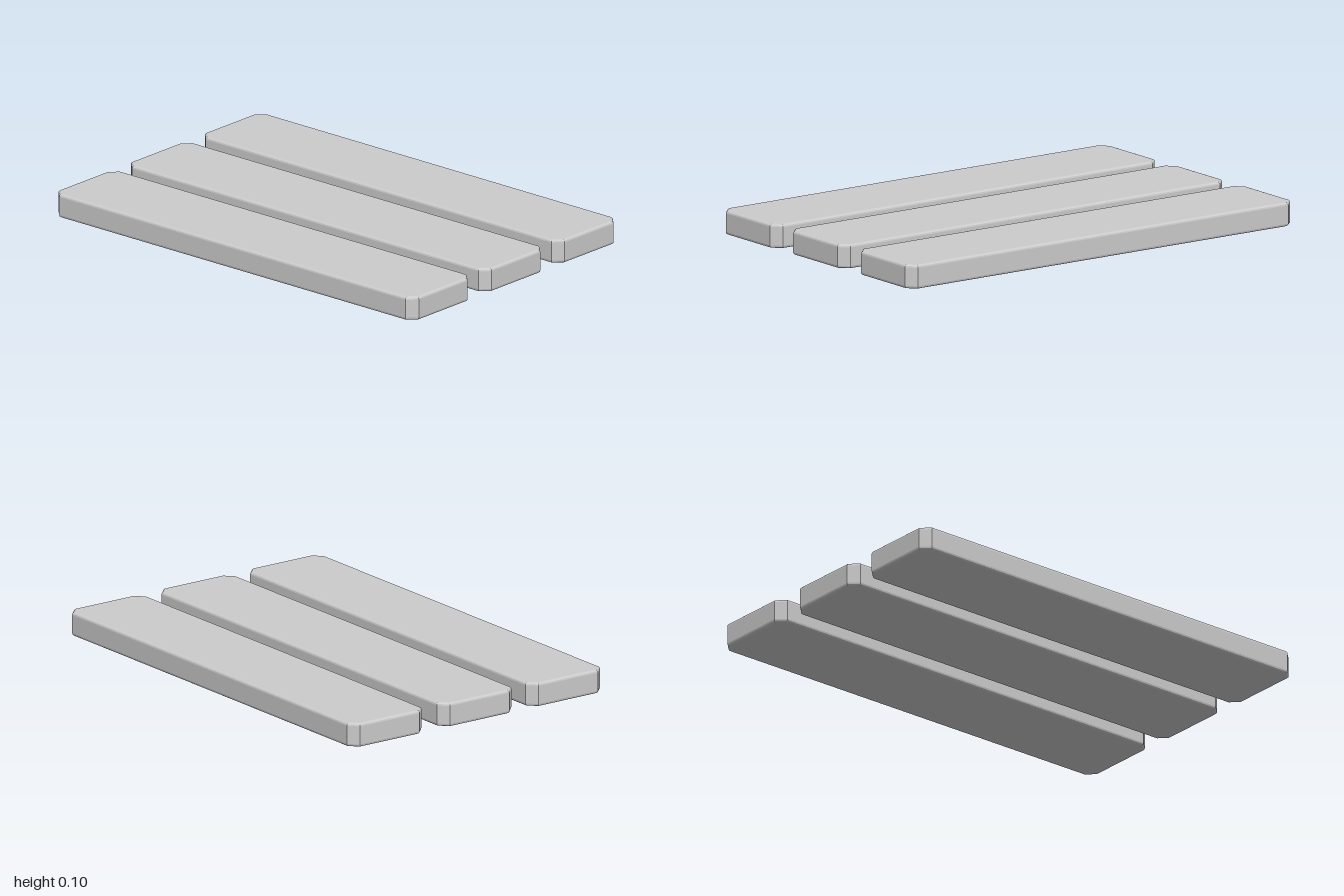
import * as THREE from 'three';

const LENGTH = 1.997, WIDTH = 0.386, HEIGHT = 0.103;
const CORNER = 0.039; // cut-off corners seen from above
const BEVEL = 0.012;  // small rounding along the top and bottom edges

// Board outline with four clipped corners, extruded upward with eased edges
function plankGeometry() {
  const a = LENGTH / 2, b = WIDTH / 2, c = CORNER;
  const outline = new THREE.Shape([
    [a - c, -b], [a, -b + c], [a, b - c], [a - c, b],
    [-a + c, b], [-a, b - c], [-a, -b + c], [-a + c, -b],
  ].map(([x, y]) => new THREE.Vector2(x, y)));
  const geometry = new THREE.ExtrudeGeometry(outline, {
    depth: HEIGHT - 2 * BEVEL,
    bevelEnabled: true,
    bevelThickness: BEVEL,
    bevelSize: BEVEL,
    bevelOffset: -BEVEL,
    bevelSegments: 3,
  });
  return geometry.translate(0, 0, BEVEL).rotateX(-Math.PI / 2);
}

export function createModel() {
  const model = new THREE.Group();
  model.name = 'planks';
  const material = new THREE.MeshStandardMaterial({ color: 0xcccccc });
  const geometry = plankGeometry();

  // Three boards side by side, each laid very slightly askew
  const boards = [
    { name: 'backPlank', z: -0.466, turn: -0.0108 },
    { name: 'middlePlank', z: 0.002, turn: -0.009 },
    { name: 'frontPlank', z: 0.465, turn: -0.009 },
  ];
  for (const { name, z, turn } of boards) {
    const plank = new THREE.Mesh(geometry, material);
    plank.name = name;
    plank.position.z = z;
    plank.rotation.y = turn;
    model.add(plank);
  }
  return model;
}
